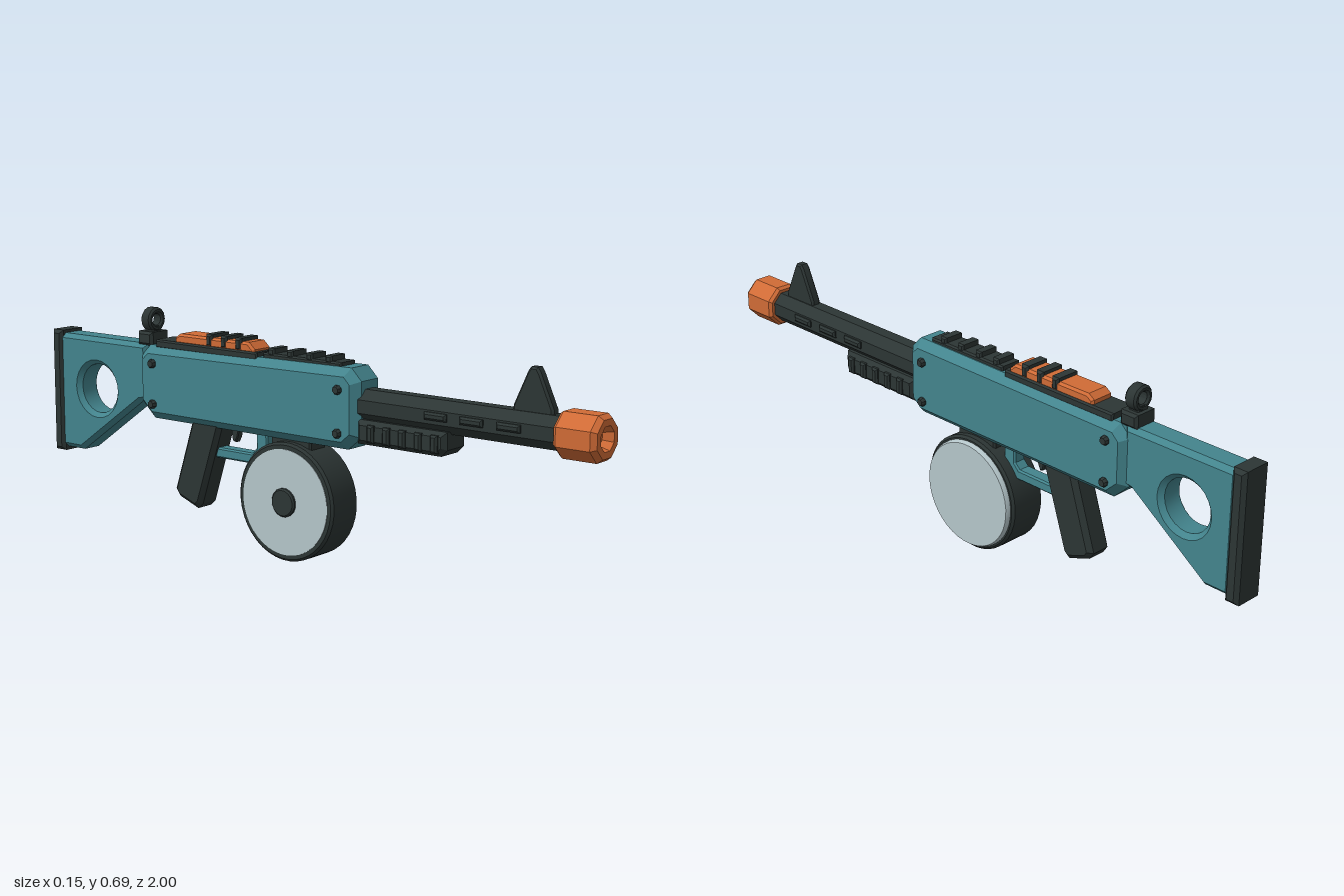
import * as THREE from 'three';
import { toCreasedNormals } from 'three/addons/utils/BufferGeometryUtils.js';

const mat = (name, color) => {
  const m = new THREE.MeshStandardMaterial({ color });
  m.name = name;
  return m;
};

export function createModel() {
  const root = new THREE.Group();
  root.name = 'toyBlaster';
  const teal = mat('teal', 0x43848d);
  const dark = mat('charcoal', 0x2c3534);
  const orange = mat('orange', 0xd06b36);
  const pale = mat('paleGrey', 0xb5c6ca);

  const add = (name, geo, material, x = 0, y = 0, z = 0) => {
    const m = new THREE.Mesh(toCreasedNormals(geo, 0.5), material);
    m.name = name;
    m.position.set(x, y, z);
    root.add(m);
    return m;
  };

  // Side profile of [z, y] points, extruded across x and chamfered inward
  const poly = (pts) => new THREE.Shape(pts.map(([a, b]) => new THREE.Vector2(a, b)));
  const slab = (shape, halfWidth, bevel, bevelDepth = bevel) => {
    const depth = 2 * (halfWidth - bevelDepth);
    const g = new THREE.ExtrudeGeometry(shape, {
      depth, bevelEnabled: bevel > 0, bevelSize: bevel, bevelThickness: bevelDepth,
      bevelOffset: -bevel, bevelSegments: 1, curveSegments: 12,
    });
    return g.translate(0, 0, -depth / 2).rotateY(-Math.PI / 2);
  };
  // Chamfered block from z and y ranges
  const block = (z0, z1, y0, y1, halfWidth, bevel) =>
    slab(poly([[z0, y0], [z1, y0], [z1, y1], [z0, y1]]), halfWidth, bevel);
  // Revolved [radius, axis] profile along x or z
  const spin = (pts, sides, axis) => {
    const g = new THREE.LatheGeometry(pts.map(([r, h]) => new THREE.Vector2(r, h)), sides, Math.PI / sides);
    return axis === 'x' ? g.rotateZ(-Math.PI / 2) : g.rotateX(Math.PI / 2);
  };

  // Receiver body with chamfered corners
  add('receiver', slab(poly([
    [0.19, 0.362], [0.235, 0.40], [0.235, 0.562], [0.20, 0.597],
    [-0.575, 0.588], [-0.612, 0.553], [-0.612, 0.41], [-0.56, 0.362],
  ]), 0.063, 0.024, 0.025), teal);
  for (const side of [-1, 1])
    for (const z of [0.17, -0.545])
      for (const y of [0.41, 0.535])
        add('screw', spin([[0, -0.012], [0.014, -0.012], [0.014, 0.008], [0.01, 0.014], [0, 0.014]], 8, 'x'),
          dark, side * 0.062, y, z).rotation.y = side < 0 ? Math.PI : 0;

  // Barrel, side vents and muzzle
  add('barrel', spin([[0, 0.2], [0.05, 0.2], [0.05, 0.89], [0, 0.89]], 8, 'z'), dark, 0, 0.492);
  for (const z of [0.73, 0.612, 0.495])
    add('barrelVent', block(z - 0.037, z + 0.037, 0.484, 0.506, 0.056, 0.006), dark);
  add('muzzle', spin([
    [0, 0.872], [0.06, 0.872], [0.068, 0.882], [0.068, 0.985], [0.056, 1.0],
    [0.036, 1.0], [0.026, 0.97], [0, 0.97],
  ], 8, 'z'), orange, 0, 0.492);

  // Ribbed handguard
  add('handguard', slab(poly([
    [0.225, 0.385], [0.51, 0.385], [0.53, 0.405], [0.53, 0.455], [0.225, 0.455],
  ]), 0.053, 0.014), dark);
  for (let i = 0; i < 5; i++) {
    const z = 0.28 + i * 0.054;
    add('handguardRib', block(z - 0.012, z + 0.012, 0.395, 0.445, 0.062, 0.006), dark);
  }

  // Front sight
  add('frontSight', slab(poly([
    [0.845, 0.53], [0.845, 0.55], [0.802, 0.645], [0.793, 0.658], [0.772, 0.658],
    [0.763, 0.645], [0.72, 0.55], [0.72, 0.53],
  ]), 0.016, 0.006), dark);

  // Rear sight: base and ring
  add('rearSightBase', block(-0.63, -0.57, 0.582, 0.625, 0.04, 0.008), dark);
  add('rearSightNeck', block(-0.618, -0.582, 0.62, 0.64, 0.02, 0.004), dark);
  const ring = spin([
    [0.018, -0.014], [0.024, -0.02], [0.031, -0.02], [0.037, -0.014],
    [0.037, 0.014], [0.031, 0.02], [0.024, 0.02], [0.018, 0.014], [0.018, -0.014],
  ], 14, 'z');
  add('rearSightRing', ring, dark, 0, 0.66, -0.6);

  // Top rails
  add('frontRail', block(-0.13, 0.16, 0.585, 0.607, 0.035, 0.005), dark);
  for (const z of [0.112, 0.042, -0.03, -0.1])
    add('frontRailRidge', block(z - 0.012, z + 0.012, 0.6, 0.622, 0.034, 0.005), dark);
  add('rearRail', block(-0.55, -0.145, 0.58, 0.606, 0.044, 0.005), dark);
  add('railInsert', slab(poly([
    [-0.16, 0.6], [-0.16, 0.612], [-0.182, 0.632], [-0.455, 0.632], [-0.475, 0.618], [-0.475, 0.6],
  ]), 0.04, 0.007), orange);
  for (const z of [-0.22, -0.277, -0.335])
    add('railInsertRidge', block(z - 0.013, z + 0.013, 0.604, 0.642, 0.043, 0.007), dark);

  // Stock with round cut-out, and butt pad
  const stock = poly([[-0.59, 0.588], [-0.97, 0.588], [-0.97, 0.22], [-0.88, 0.22], [-0.62, 0.405], [-0.59, 0.41]]);
  stock.holes.push(new THREE.Path().absarc(-0.806, 0.425, 0.078, 0, Math.PI * 2, true));
  add('stock', slab(stock, 0.044, 0.014), teal);
  add('buttPad', block(-1.0, -0.955, 0.208, 0.597, 0.051, 0.011), dark);

  // Pistol grip
  add('grip', slab(poly([
    [-0.29, 0.38], [-0.375, 0.118], [-0.395, 0.10], [-0.47, 0.128], [-0.485, 0.15], [-0.41, 0.38],
  ]), 0.042, 0.014), dark);

  // Trigger and guard
  const guard = poly([[-0.125, 0.375], [-0.125, 0.305], [-0.165, 0.266], [-0.345, 0.266], [-0.345, 0.375]]);
  const opening = poly([[-0.168, 0.362], [-0.325, 0.362], [-0.325, 0.298], [-0.185, 0.298], [-0.168, 0.315]]);
  guard.holes.push(opening);
  add('triggerGuard', slab(guard, 0.022, 0.005), teal);
  add('trigger', slab(poly([[-0.24, 0.375], [-0.25, 0.335], [-0.258, 0.32], [-0.27, 0.325], [-0.278, 0.375]]),
    0.012, 0.003), dark);

  // Drum, its feed neck, side plates and hub
  const dy = 0.18, dz = -0.026;
  add('drumNeck', block(-0.10, 0.05, 0.33, 0.375, 0.036, 0.006), dark);
  add('drum', spin([
    [0, -0.06], [0.17, -0.06], [0.177, -0.053], [0.177, 0.053], [0.17, 0.06], [0, 0.06],
  ], 40, 'x'), dark, 0, dy, dz);
  add('drumPlateLeft', spin([[0.165, 0.055], [0.165, 0.064], [0.16, 0.074], [0, 0.074]], 40, 'x'), pale, 0, dy, dz);
  add('drumPlateRight', spin([[0, -0.062], [0.158, -0.062], [0.158, -0.058]], 40, 'x'), pale, 0, dy, dz);
  add('drumHub', spin([[0, -0.073], [0.038, -0.073], [0.043, -0.068], [0.043, -0.058]], 16, 'x'), dark, 0, dy, dz);

  return root;
}
